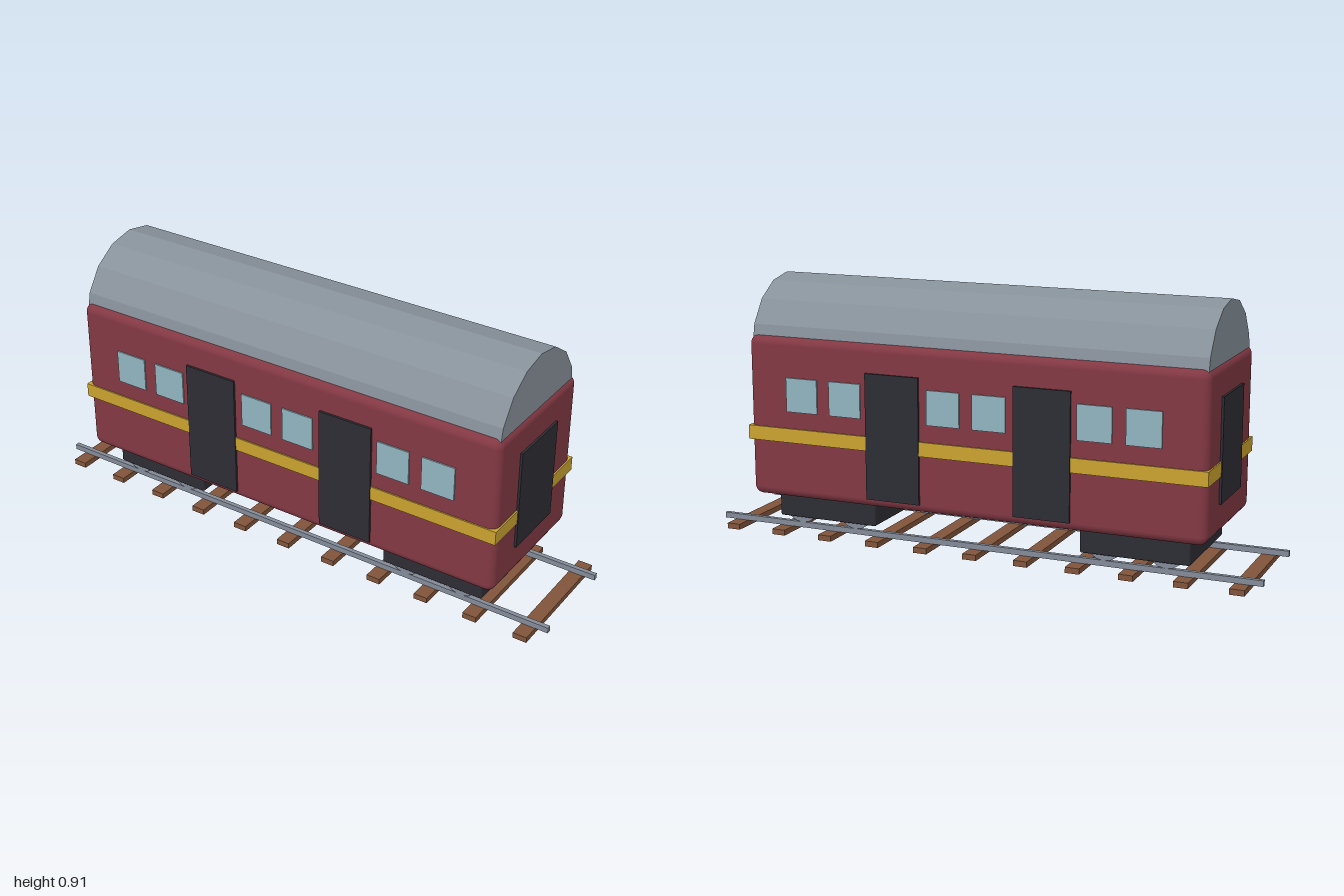
import * as THREE from 'three';
import { RoundedBoxGeometry } from 'three/addons/geometries/RoundedBoxGeometry.js';

function material(name, color, flatShading = false) {
  const m = new THREE.MeshStandardMaterial({ color, flatShading });
  m.name = name;
  return m;
}

export function createModel() {
  const maroon = material('maroon', 0x823843);
  const gold = material('gold', 0xc9a22f);
  const roofGrey = material('roofGrey', 0x87919a, true);
  const steel = material('steel', 0x838b98);
  const glass = material('glass', 0x90b4c0);
  const charcoal = material('charcoal', 0x2c2c34);
  const wood = material('wood', 0x80543a);

  const model = new THREE.Group();
  model.name = 'railwayCarriage';

  function add(name, geometry, mat, x, y, z, parent = model) {
    const mesh = new THREE.Mesh(geometry, mat);
    mesh.name = name;
    mesh.position.set(x, y, z);
    parent.add(mesh);
    return mesh;
  }
  const box = (w, h, d) => new THREE.BoxGeometry(w, h, d);

  // Rounded carriage body with a stripe all round
  add('body', new RoundedBoxGeometry(1.66, 0.57, 0.52, 3, 0.03), maroon, 0, 0.435, 0);
  add('stripe', box(1.67, 0.05, 0.53), gold, 0, 0.375, 0);

  // Faceted half-barrel roof
  const roof = new THREE.CylinderGeometry(0.25, 0.25, 1.64, 8, 1, false, 0, Math.PI);
  roof.rotateZ(Math.PI / 2);
  add('roof', roof, roofGrey, 0, 0.66, 0);

  // Doors and windows on both long sides
  for (const side of [-1, 1]) {
    for (const x of [-0.272, 0.272]) {
      add('sideDoor', box(0.2, 0.44, 0.009), charcoal, x, 0.4, side * 0.2635);
    }
    for (const x of [-0.62, -0.453, -0.083, 0.083, 0.453, 0.62]) {
      add('window', box(0.12, 0.12, 0.008), glass, x, 0.52, side * 0.261);
    }
    add('endDoor', box(0.009, 0.355, 0.24), charcoal, side * 0.8335, 0.435, 0);
  }

  // Bogies with four wheels each
  const wheel = new THREE.CylinderGeometry(0.07, 0.07, 0.02, 16);
  wheel.rotateX(Math.PI / 2);
  for (const x of [-0.57, 0.57]) {
    const bogie = new THREE.Group();
    bogie.name = 'bogie';
    bogie.position.x = x;
    model.add(bogie);
    add('bogieFrame', new RoundedBoxGeometry(0.38, 0.082, 0.38, 2, 0.006), charcoal, 0, 0.101, 0, bogie);
    for (const dx of [-0.107, 0.107]) {
      for (const z of [-0.172, 0.172]) add('wheel', wheel, steel, dx, 0.11, z, bogie);
    }
  }

  // Track
  for (const z of [-0.171, 0.171]) add('rail', box(2, 0.02, 0.016), steel, 0, 0.03, z);
  for (let i = -5; i <= 5; i++) add('sleeper', box(0.05, 0.02, 0.476), wood, i * 0.186, 0.01, 0);

  return model;
}
